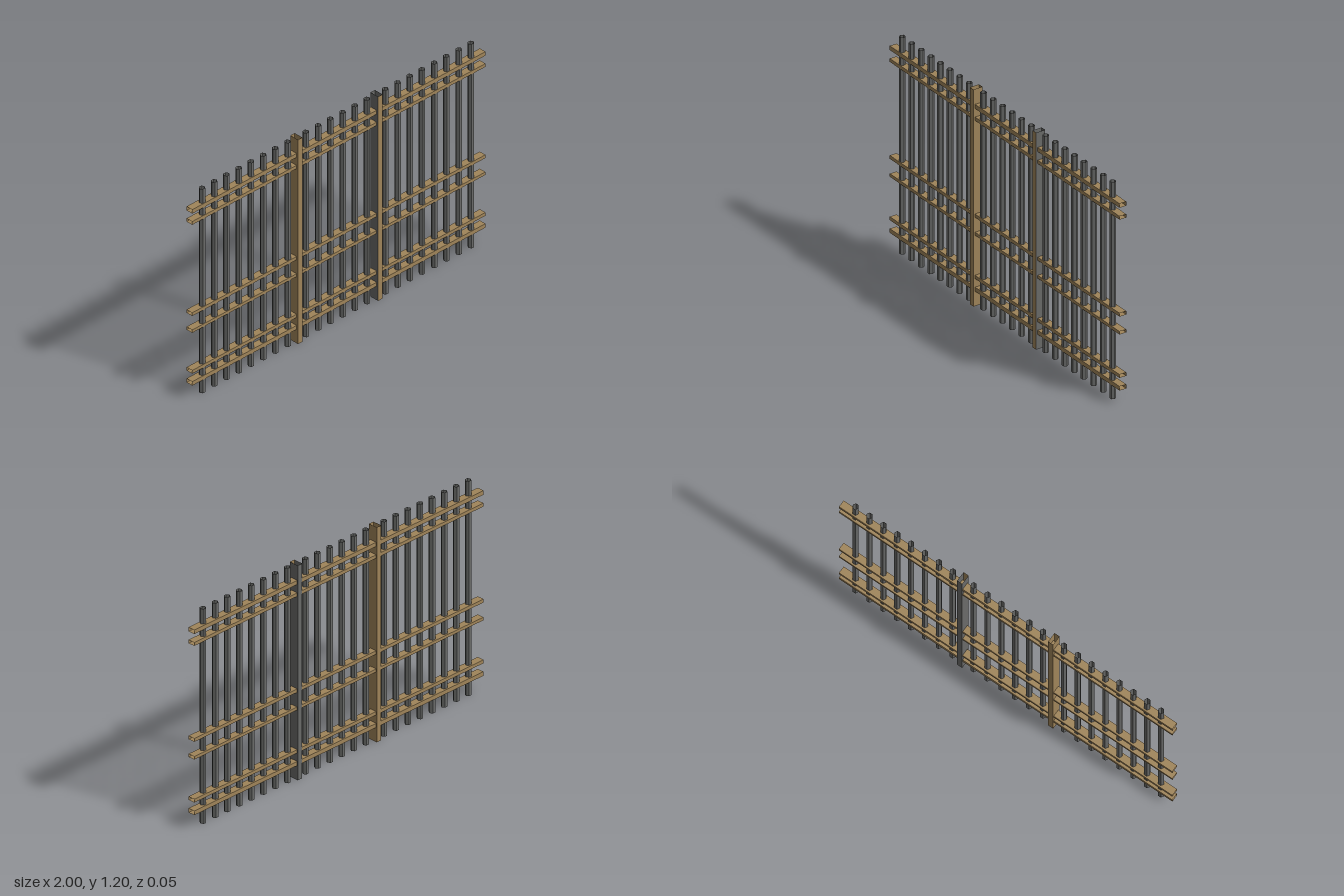
import * as THREE from 'three';

const wood = new THREE.MeshStandardMaterial({ color: 0xa0855a, side: THREE.DoubleSide });
wood.name = 'wood brown';
const steel = new THREE.MeshStandardMaterial({ color: 0x6a6b69, side: THREE.DoubleSide });
steel.name = 'steel grey';

// Open upright square tube; its first six vertices are the front (+z) face
function squareTube(width, height, depth) {
  const tube = new THREE.CylinderGeometry(Math.SQRT1_2, Math.SQRT1_2, 1, 4, 1, true)
    .rotateY(-Math.PI / 4)
    .scale(width, height, depth)
    .toNonIndexed();
  tube.computeVertexNormals();
  tube.clearGroups();
  return tube;
}

function addPart(parent, name, geometry, material, x, y, z) {
  const mesh = new THREE.Mesh(geometry, material);
  mesh.name = name;
  mesh.position.set(x, y, z);
  parent.add(mesh);
}

export function createModel() {
  const fence = new THREE.Group();
  fence.name = 'fence';
  const height = 1.2;

  // Hexagonal upright bars in three panels
  const bars = new THREE.Group();
  bars.name = 'bars';
  const barGeometry = new THREE.CylinderGeometry(0.0165, 0.0165, height, 6, 1, true)
    .rotateY(Math.PI / 6)
    .toNonIndexed();
  barGeometry.computeVertexNormals();
  const spacing = 1 / 12;
  for (const [start, count] of [[-11 / 12, 8], [-2.5 / 12, 6], [4 / 12, 8]]) {
    for (let i = 0; i < count; i++) {
      addPart(bars, 'bar', barGeometry, steel, start + i * spacing, height / 2, 0);
    }
  }
  fence.add(bars);

  // Horizontal rails, paired at the bottom, middle and top
  const rails = new THREE.Group();
  rails.name = 'rails';
  const railSizes = [[0.093, 0.023], [0.161, 0.019], [0.4, 0.017], [0.5, 0.019], [1.036, 0.019], [1.104, 0.023]];
  for (const [y, thickness] of railSizes) {
    const rail = squareTube(thickness, 2, 0.04).rotateZ(Math.PI / 2);
    addPart(rails, 'rail', rail, wood, 0, y, -0.003);
  }
  fence.add(rails);

  // Right post is all wood; left post is steel with a wooden front face
  addPart(fence, 'rightPost', squareTube(0.03, height, 0.054), wood, -0.273, height / 2, 0);
  const leftPost = squareTube(0.03, height, 0.054);
  leftPost.addGroup(0, 6, 0);
  leftPost.addGroup(6, 18, 1);
  addPart(fence, 'leftPost', leftPost, [wood, steel], 0.273, height / 2, 0);

  return fence;
}
